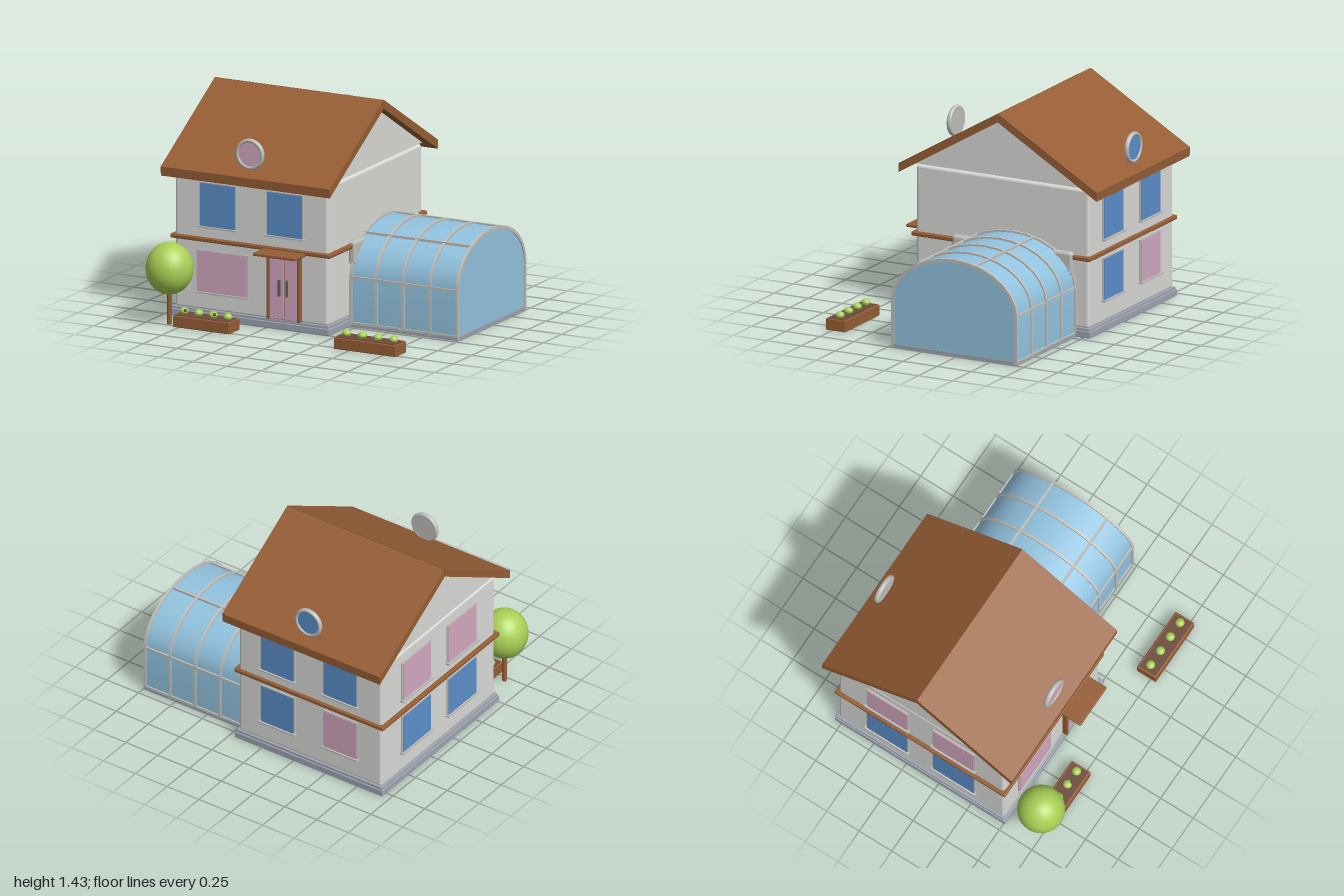
import * as THREE from 'three';
import { toCreasedNormals } from 'three/addons/utils/BufferGeometryUtils.js';
import { RoundedBoxGeometry } from 'three/addons/geometries/RoundedBoxGeometry.js';

const paint = (name, color) => {
  const m = new THREE.MeshStandardMaterial({ color });
  m.name = name;
  return m;
};
const wall = paint('wall plaster', 0xdadad7);
const wood = paint('brown wood', 0x965e35);
const glass = paint('conservatory glass', 0x92c3df);
const blue = paint('blue window', 0x5b8fca);
const pink = paint('pink window', 0xd2a8c0);
const frame = paint('frame grey', 0xbfbfbc);
const stone = paint('base stone', 0x9ea4b0);
const leaf = paint('leaf green', 0xa9d055);
const metal = paint('dark metal', 0x55555c);
const soil = paint('soil', 0x6e4a3c);

function add(parent, name, geometry, material, x = 0, y = 0, z = 0) {
  const mesh = new THREE.Mesh(geometry, material);
  mesh.name = name;
  mesh.position.set(x, y, z);
  parent.add(mesh);
  return mesh;
}

// Box from its limits on each axis, optionally with rounded edges
function box(parent, name, material, [x0, x1], [y0, y1], [z0, z1], r = 0) {
  const s = [x1 - x0, y1 - y0, z1 - z0];
  const g = r ? new RoundedBoxGeometry(...s, 2, r) : new THREE.BoxGeometry(...s);
  return add(parent, name, g, material, (x0 + x1) / 2, (y0 + y1) / 2, (z0 + z1) / 2);
}

// Profile given as [z, y] points, extruded along x from x0 to x1
function prism(parent, name, material, points, x0, x1) {
  const shape = new THREE.Shape(points.map(([z, y]) => new THREE.Vector2(-z, y)));
  const g = new THREE.ExtrudeGeometry(shape, { depth: x1 - x0, bevelEnabled: false });
  g.rotateY(Math.PI / 2);
  return add(parent, name, toCreasedNormals(g, 0.6), material, x0);
}

function group(parent, name, x = 0, y = 0, z = 0) {
  const g = new THREE.Group();
  g.name = name;
  g.position.set(x, y, z);
  parent.add(g);
  return g;
}

// Window facing +z, with its origin at the middle of the wall opening
function windowUnit(parent, name, material, w, h, x, y, z, turn = 0) {
  const g = group(parent, name, x, y, z);
  g.rotation.y = turn;
  box(g, 'windowFrame', frame, [-w / 2 - 0.007, w / 2 + 0.007], [-h / 2, h / 2 + 0.007], [-0.01, 0.01]);
  box(g, 'windowPane', material, [-w / 2, w / 2], [-h / 2, h / 2], [0.008, 0.014]);
  box(g, 'windowSill', frame, [-w / 2 - 0.015, w / 2 + 0.015], [-h / 2 - 0.012, -h / 2], [-0.01, 0.025]);
}

// Round window standing on the roof slope
function roundWindow(parent, name, material, z, turn) {
  const g = group(parent, name, -0.37, 1.143, z);
  g.rotation.y = turn;
  const disc = (r, d) => new THREE.CylinderGeometry(r, r, d, 32).rotateX(Math.PI / 2);
  add(g, 'roundBacking', disc(0.095, 0.02), frame, 0, 0, -0.005);
  add(g, 'roundRim', new THREE.TorusGeometry(0.09, 0.013, 10, 32), frame).scale.z = 1.3;
  add(g, 'roundPane', disc(0.08, 0.006), material, 0, 0, 0.006);
}

// Conservatory arch as [z, y] points, from the front foot over to the back foot
function arch(halfWidth, rise, foot) {
  const points = [[-0.235 + halfWidth, foot]];
  const n = 14;
  for (let i = 0; i <= n; i++) {
    const a = (Math.PI * i) / n;
    points.push([-0.235 + halfWidth * Math.cos(a), 0.33 + rise * Math.sin(a)]);
  }
  points.push([-0.235 - halfWidth, foot]);
  return points;
}

function buildHouse(root) {
  const g = group(root, 'house');
  box(g, 'baseLower', stone, [-0.95, 0.21], [0.005, 0.05], [-0.8, 0.51], 0.005);
  box(g, 'baseUpper', stone, [-0.942, 0.202], [0.04, 0.068], [-0.792, 0.502], 0.005);
  box(g, 'walls', wall, [-0.93, 0.19], [0.06, 0.99], [-0.78, 0.49], 0.02);
  prism(g, 'gable', wall, [[0.49, 0.998], [-0.145, 1.38], [-0.78, 0.998]], -0.93, 0.19);
  box(g, 'floorBand', wood, [-0.955, 0.217], [0.518, 0.546], [-0.8, 0.513], 0.008);

  // Roof slopes, mirrored about the ridge
  for (const s of [1, -1]) {
    const slope = [[0.002, 1.432], [0.73, 1.003], [0.728, 0.943], [0.002, 1.374]];
    prism(g, s > 0 ? 'frontRoof' : 'backRoof', wood, slope.map(([z, y]) => [-0.145 + s * z, y]), -0.983, 0.255);
  }
  roundWindow(g, 'frontRoundWindow', pink, 0.507, 0);
  roundWindow(g, 'backRoundWindow', blue, -0.797, Math.PI);

  // Windows on the front, back and left-hand walls
  for (const x of [-0.613, -0.12]) {
    windowUnit(g, 'frontUpperWindow', blue, 0.255, 0.285, x, 0.765, 0.49);
    windowUnit(g, 'backUpperWindow', blue, 0.255, 0.285, x, 0.765, -0.78, Math.PI);
    windowUnit(g, 'backLowerWindow', x < -0.4 ? pink : blue, 0.255, 0.275, x, 0.35, -0.78, Math.PI);
  }
  windowUnit(g, 'frontLowerWindow', pink, 0.36, 0.27, -0.578, 0.32, 0.49);
  for (const z of [-0.4, 0.11]) {
    windowUnit(g, 'sideUpperWindow', pink, 0.31, 0.285, -0.93, 0.765, z, -Math.PI / 2);
    windowUnit(g, 'sideLowerWindow', blue, 0.31, 0.275, -0.93, 0.35, z, -Math.PI / 2);
  }
}

function buildDoor(root) {
  const g = group(root, 'doorway');
  box(g, 'canopy', wood, [-0.275, 0.037], [0.512, 0.532], [0.48, 0.65], 0.006);
  box(g, 'doorBacking', wood, [-0.225, -0.015], [0.07, 0.49], [0.48, 0.506]);
  box(g, 'doorHead', wood, [-0.242, 0.002], [0.488, 0.508], [0.48, 0.526], 0.005);
  for (const s of [1, -1]) {
    const span = (a, b) => [-0.12 + Math.min(s * a, s * b), -0.12 + Math.max(s * a, s * b)];
    box(g, 'doorPost', wood, span(0.102, 0.122), [0.07, 0.506], [0.48, 0.526], 0.005);
    box(g, 'doorLeaf', pink, span(0.004, 0.102), [0.075, 0.488], [0.506, 0.513]);
    box(g, 'doorHandle', metal, span(0.022, 0.034), [0.23, 0.34], [0.513, 0.537], 0.004);
  }
}

function buildConservatory(root) {
  const g = group(root, 'conservatory');
  box(g, 'conservatoryBase', stone, [0.19, 0.998], [0.005, 0.03], [-0.698, 0.228]);
  prism(g, 'glassVault', glass, arch(0.453, 0.312, 0.02), 0.2, 0.992);
  box(g, 'wallPlate', frame, [0.18, 0.235], [0.41, 0.568], [-0.675, 0.205], 0.02);

  // Arched ribs
  const rib = [...arch(0.463, 0.325, 0.012), ...arch(0.44, 0.303, 0.012).reverse()];
  for (const x of [0.213, 0.4, 0.597, 0.794, 0.99]) prism(g, 'archRib', frame, rib, x - 0.009, x + 0.009);

  // Bars running the length of the vault
  for (const [z, y] of [[0.22, 0.335], [0.03, 0.589], [-0.384, 0.627], [-0.69, 0.335], [0.22, 0.03], [-0.69, 0.03]]) {
    box(g, 'lengthBar', frame, [0.21, 0.99], [y - 0.008, y + 0.008], [z - 0.008, z + 0.008]);
  }
}

function buildPlanter(root, name, x0, x1, plants, flowering) {
  const g = group(root, name);
  box(g, 'planterBox', wood, [x0, x1], [0.008, 0.084], [0.645, 0.79], 0.006);
  box(g, 'planterSoil', soil, [x0 + 0.012, x1 - 0.012], [0.08, 0.087], [0.657, 0.778]);
  plants.forEach((x, i) => {
    add(g, 'plant', new THREE.SphereGeometry(0.03, 16, 12), leaf, x, 0.103, 0.715).scale.y = 0.8;
    if (flowering && i % 2 === 0) {
      add(g, 'bud', new THREE.SphereGeometry(0.011, 10, 8), soil, x + 0.018, 0.112, 0.733);
    }
  });
}

function buildTree(root) {
  const g = group(root, 'tree', -0.845, 0, 0.72);
  add(g, 'trunk', new THREE.CylinderGeometry(0.015, 0.017, 0.26, 14), wood, 0, 0.135, 0);
  add(g, 'crown', new THREE.SphereGeometry(0.155, 32, 24), leaf, 0, 0.375, 0).scale.y = 1.1;
}

export function createModel() {
  const root = new THREE.Group();
  root.name = 'houseWithConservatory';
  buildHouse(root);
  buildDoor(root);
  buildConservatory(root);
  buildPlanter(root, 'leftPlanter', 0.395, 0.85, [0.45, 0.565, 0.68, 0.795], false);
  buildPlanter(root, 'rightPlanter', -0.785, -0.37, [-0.74, -0.633, -0.527, -0.42], true);
  buildTree(root);
  return root;
}
